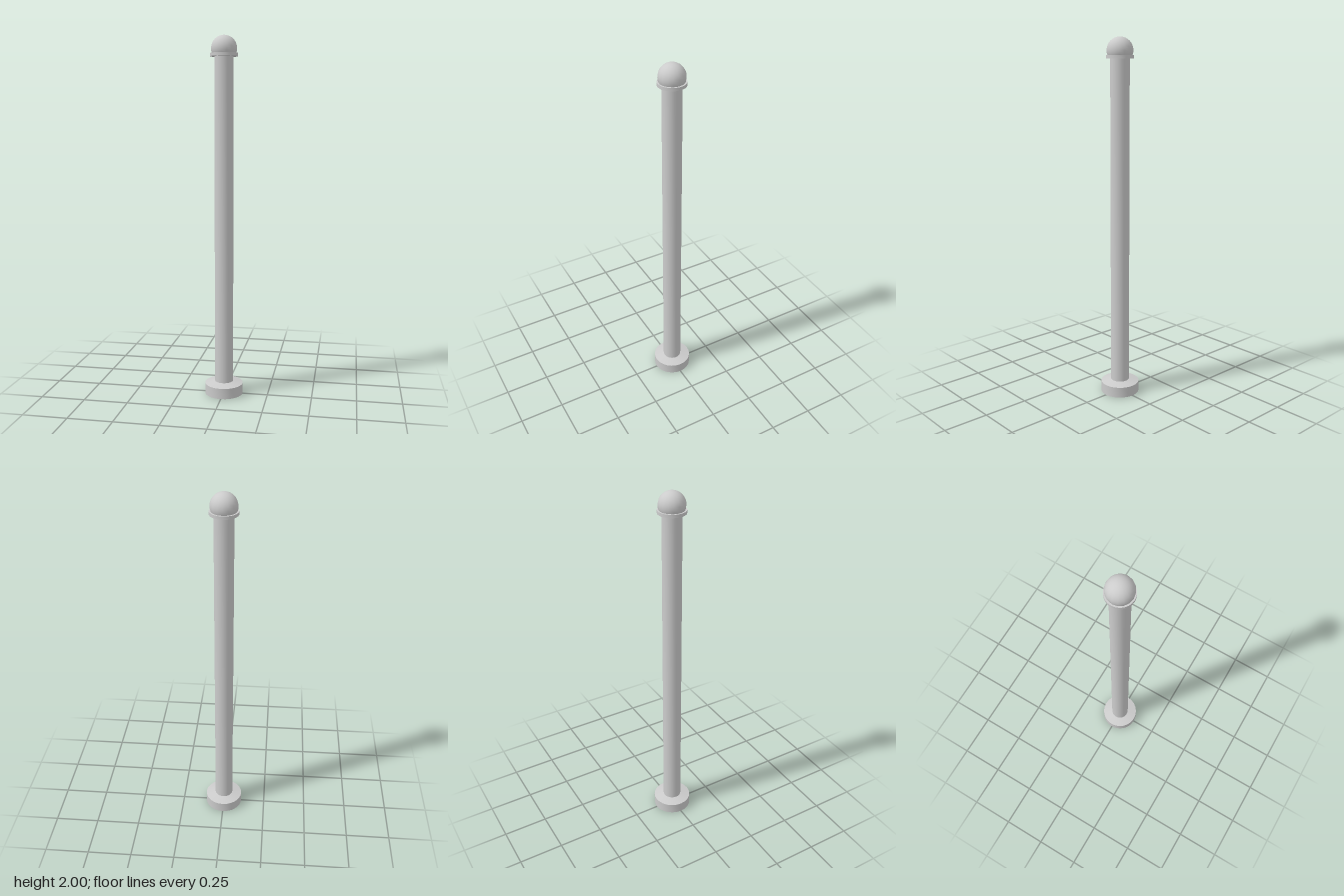
import * as THREE from 'three';
import { toCreasedNormals } from 'three/addons/utils/BufferGeometryUtils.js';

const material = new THREE.MeshStandardMaterial({ color: 0xcccccc, side: THREE.DoubleSide });

// Revolved shell from [radius, height] pairs, listed bottom to top, with sharp rims
function turned(name, profile, sides) {
  const points = profile.map(([r, y]) => new THREE.Vector2(r, y));
  const geometry = toCreasedNormals(new THREE.LatheGeometry(points, sides), 0.6);
  const mesh = new THREE.Mesh(geometry, material);
  mesh.name = name;
  return mesh;
}

export function createModel() {
  const group = new THREE.Group();
  group.name = 'post';

  // Hollow foot, open underneath, with a shallow sloping top
  group.add(turned('baseFlange', [[0.108, 0], [0.108, 0.06], [0.052, 0.072]], 24));

  // Hollow tubular shaft
  group.add(turned('shaft', [[0.052, 0.072], [0.052, 1.888]], 24));

  // Thin collar below the ball
  group.add(turned('collar', [[0.052, 1.888], [0.075, 1.888], [0.075, 1.905], [0.064, 1.905]], 24));

  // Ball finial, cut off where it meets the collar
  const radius = 0.071;
  const ball = new THREE.Mesh(
    new THREE.SphereGeometry(radius, 16, 12, 0, Math.PI * 2, 0, Math.acos(-0.34)),
    material
  );
  ball.name = 'ballFinial';
  ball.position.y = 2 - radius;
  group.add(ball);

  return group;
}
